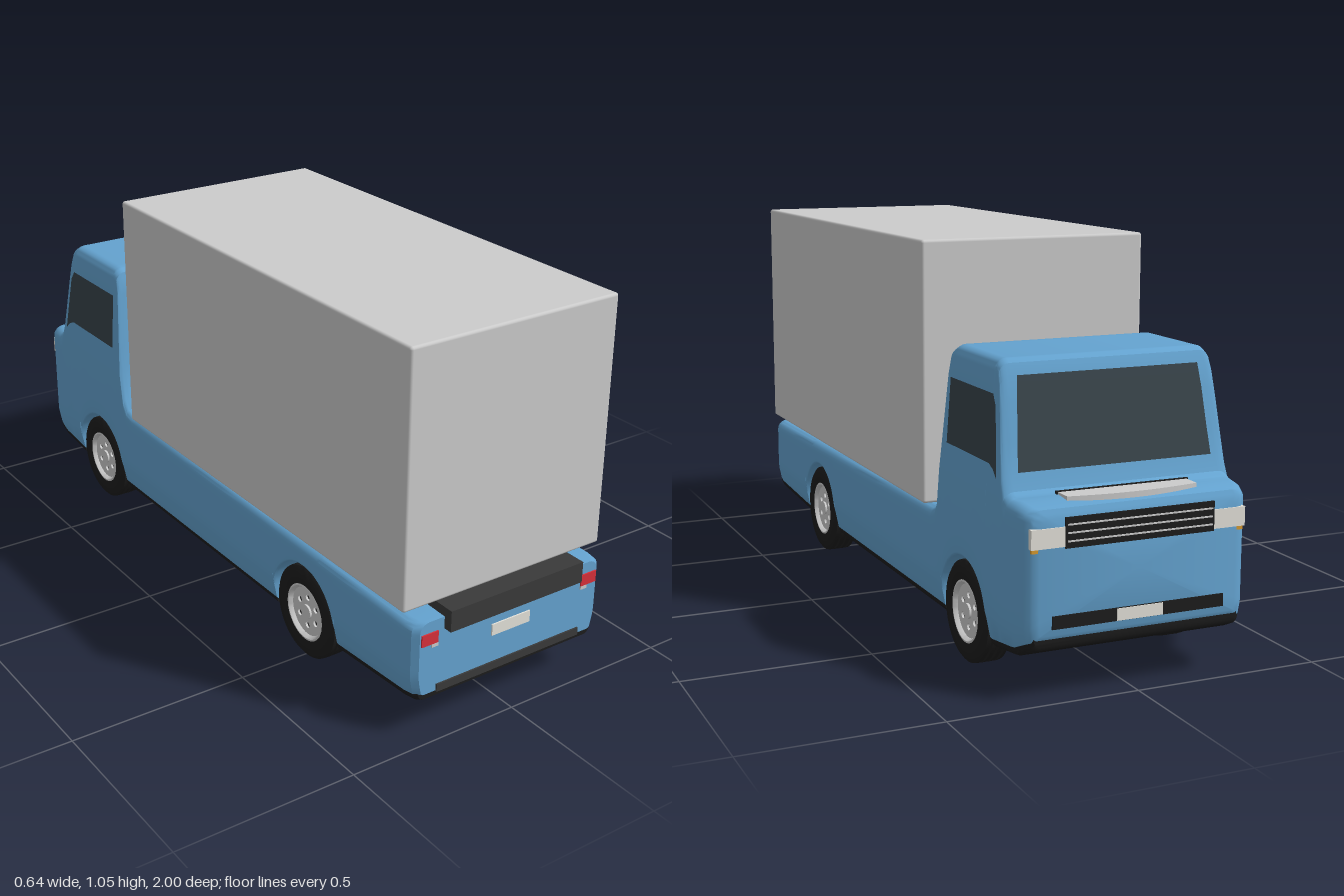
import * as THREE from 'three';
import { toCreasedNormals } from 'three/addons/utils/BufferGeometryUtils.js';
import { RoundedBoxGeometry } from 'three/addons/geometries/RoundedBoxGeometry.js';

const mat = (color) => new THREE.MeshStandardMaterial({ color, side: THREE.DoubleSide });
const BLUE = mat(0x64a3d0), GREY = mat(0xcccccc), DARK = mat(0x3a3a3a), BLACK = mat(0x1c1c1c);
const GLASS = mat(0x38444a), RED = mat(0xd8303a), WHITE = mat(0xe4e2da), AMBER = mat(0xd89a30);

const WHEEL_Z = [0.5, -0.645], WHEEL_Y = 0.135, ARCH_R = 0.143;

// Side profiles as [z, y]
const TOP = [[-0.995, 0.45], [-0.985, 0.472], [-0.95, 0.481], [-0.905, 0.485], [-0.885, 0.495],
  [-0.87, 0.535], [-0.855, 0.61], [-0.838, 0.7], [-0.825, 0.76], [-0.813, 0.79], [-0.795, 0.8],
  [-0.55, 0.8], [-0.528, 0.79], [-0.518, 0.75], [-0.495, 0.5], [-0.48, 0.4], [-0.462, 0.37],
  [-0.43, 0.358], [0.975, 0.335]];
const FLOOR = [[-0.995, 0.17], [-0.985, 0.15], [-0.93, 0.125], [-0.8, 0.105], [0.6, 0.103], [0.975, 0.13]];
// Half width along z (rounded plan corners)
const PLAN = [[-0.995, 0.265], [-0.99, 0.28], [-0.975, 0.296], [-0.95, 0.305], [-0.91, 0.31],
  [0.93, 0.31], [0.96, 0.305], [0.975, 0.29]];

function lerpAt(table, z) {
  if (z <= table[0][0]) return table[0][1];
  for (let i = 1; i < table.length; i++) {
    const [z0, y0] = table[i - 1], [z1, y1] = table[i];
    if (z <= z1) return y0 + (y1 - y0) * (z - z0) / (z1 - z0);
  }
  return table[table.length - 1][1];
}
const topY = (z) => lerpAt(TOP, z);
const floorY = (z) => lerpAt(FLOOR, z);

// Half width at a point: tucks in near the floor, tapers towards the roof
const halfWidth = (y, z) =>
  lerpAt(PLAN, z) - Math.max(0, 0.18 - y) * 0.2 - Math.max(0, y - 0.46) * 0.07;

// Body underside, raised over each wheel
function archedFloor(z) {
  let y = floorY(z);
  for (const c of WHEEL_Z) {
    const d = Math.abs(z - c);
    if (d <= ARCH_R) y = Math.max(y, WHEEL_Y + Math.sqrt(Math.max(0, ARCH_R * ARCH_R - d * d)));
  }
  return y;
}

// Loft rounded cross-sections along z
function loft(zs, bottom, top, rb, rt) {
  const pos = [], idx = [];
  let n = 0;
  for (const z of zs) {
    const b = bottom(z), t = top(z), half = [];
    for (let k = 0; k <= 4; k++) {
      const a = k / 4 * Math.PI / 2, y = b + rb * (1 - Math.cos(a));
      half.push([halfWidth(y, z) - rb * (1 - Math.sin(a)), y]);
    }
    for (let k = 1; k < 10; k++) {
      const y = b + rb + (t - rt - b - rb) * k / 10;
      half.push([halfWidth(y, z), y]);
    }
    for (let k = 0; k <= 5; k++) {
      const a = k / 5 * Math.PI / 2, y = t - rt * (1 - Math.sin(a));
      half.push([halfWidth(y, z) - rt * (1 - Math.cos(a)), y]);
    }
    const ring = [...half, ...half.map(([x, y]) => [-x, y]).reverse()];
    n = ring.length;
    ring.forEach(([x, y]) => pos.push(x, y, z));
  }
  for (let i = 0; i < zs.length - 1; i++) {
    for (let j = 0; j < n; j++) {
      const a = i * n + j, b = i * n + (j + 1) % n;
      idx.push(a, b, a + n, b, b + n, a + n);
    }
  }
  // End caps
  const last = (zs.length - 1) * n, c = pos.length / 3;
  for (const z of [zs[0], zs[zs.length - 1]]) pos.push(0, (bottom(z) + top(z)) / 2, z);
  for (let j = 0; j < n; j++) {
    const k = (j + 1) % n;
    idx.push(c, k, j, c + 1, last + j, last + k);
  }
  const g = new THREE.BufferGeometry();
  g.setAttribute('position', new THREE.Float32BufferAttribute(pos, 3));
  g.setIndex(idx);
  return toCreasedNormals(g, 0.6);
}

function stations(z0, z1, arches) {
  const zs = [...TOP, ...FLOOR, ...PLAN].map((p) => p[0]);
  for (let i = 0; i <= 20; i++) zs.push(z0 + (z1 - z0) * i / 20);
  if (arches) for (const c of WHEEL_Z) {
    zs.push(c - ARCH_R - 0.0006, c + ARCH_R + 0.0006);
    for (let i = 0; i <= 28; i++) zs.push(c + ARCH_R * Math.cos(i / 28 * Math.PI));
  }
  return zs.filter((z) => z >= z0 && z <= z1).sort((a, b) => a - b)
    .filter((z, i, s) => i === 0 || z - s[i - 1] > 2e-4);
}

function add(parent, name, geometry, material) {
  const m = new THREE.Mesh(geometry, material);
  m.name = name;
  parent.add(m);
  return m;
}
// Box given by its limits
function block(parent, name, [x0, x1], [y0, y1], [z0, z1], material) {
  add(parent, name, new THREE.BoxGeometry(x1 - x0, y1 - y0, z1 - z0), material)
    .position.set((x0 + x1) / 2, (y0 + y1) / 2, (z0 + z1) / 2);
}

// Wheel with its axis along x, outer face towards +x
function makeWheel() {
  const w = new THREE.Group();
  const profile = [[0.078, -0.036], [0.1, -0.04], [0.122, -0.038], [0.131, -0.031]];
  for (const c of [-0.018, 0, 0.018]) {
    profile.push([0.132, c - 0.004], [0.126, c - 0.002], [0.126, c + 0.002], [0.132, c + 0.004]);
  }
  profile.push([0.131, 0.031], [0.122, 0.038], [0.1, 0.04], [0.078, 0.036]);
  const lathe = (pts) => toCreasedNormals(
    new THREE.LatheGeometry(pts.map(([r, h]) => new THREE.Vector2(r, h)), 48), 0.6).rotateZ(-Math.PI / 2);
  add(w, 'tyre', lathe(profile), BLACK);
  add(w, 'rimBarrel', lathe([[0.073, -0.036], [0.08, -0.038], [0.08, -0.034], [0.07, -0.03],
    [0.068, 0.025], [0.076, 0.038], [0.081, 0.037]]), GREY);
  // Pierced rim face
  const face = new THREE.Shape().absarc(0, 0, 0.07, 0, Math.PI * 2);
  for (let i = 0; i < 6; i++) {
    const a = (i + 0.5) / 6 * Math.PI * 2;
    face.holes.push(new THREE.Path().absarc(0.042 * Math.cos(a), 0.042 * Math.sin(a), 0.009, 0, Math.PI * 2, true));
  }
  add(w, 'rimFace', new THREE.ExtrudeGeometry(face, { depth: 0.006, bevelEnabled: false, curveSegments: 24 })
    .rotateY(Math.PI / 2).translate(0.021, 0, 0), GREY);
  const disc = (name, r, h, x, m) =>
    add(w, name, new THREE.CylinderGeometry(r, r, h, 32).rotateZ(Math.PI / 2).translate(x, 0, 0), m);
  disc('brakeDisc', 0.066, 0.006, 0.012, DARK);
  disc('hub', 0.02, 0.012, 0.027, GREY);
  return w;
}

export function createModel() {
  const truck = new THREE.Group();
  truck.name = 'boxTruck';

  add(truck, 'body', loft(stations(-0.995, 0.975, true), archedFloor, topY, 0.008, 0.028), BLUE);
  // Dark underbody between the wheel arches
  for (const [z0, z1] of [[-0.99, -0.788], [-0.502, 0.357], [0.643, 0.97]]) {
    add(truck, 'underbody', loft(stations(z0, z1, false),
      (z) => floorY(z) - 0.017, (z) => floorY(z) + 0.006, 0.014, 0.003), BLACK);
  }
  block(truck, 'frontAxleHousing', [-0.22, 0.22], [0.2, 0.268], [-0.71, -0.58], DARK);

  // Cargo box on its bed frame
  block(truck, 'bedFrame', [-0.215, 0.215], [0.302, 0.361], [-0.462, 1], DARK);
  add(truck, 'cargoBox', new RoundedBoxGeometry(0.64, 0.69, 1.355, 3, 0.008), GREY).position.set(0, 0.706, 0.267);

  // Windscreen follows the cab profile
  const zs = TOP.map((p) => p[0]).filter((z) => z >= -0.871 && z <= -0.824);
  const pos = [], idx = [];
  zs.forEach((z, i) => {
    const x = 0.264 - 0.018 * i / (zs.length - 1);
    pos.push(x, topY(z) + 0.002, z - 0.003, -x, topY(z) + 0.002, z - 0.003);
    if (i) idx.push(2 * i - 2, 2 * i - 1, 2 * i, 2 * i - 1, 2 * i + 1, 2 * i);
  });
  const screen = new THREE.BufferGeometry();
  screen.setAttribute('position', new THREE.Float32BufferAttribute(pos, 3));
  screen.setIndex(idx);
  screen.computeVertexNormals();
  add(truck, 'windscreen', screen, GLASS);

  // Nose: grille, bumper slot, plate and bonnet vent
  block(truck, 'grille', [-0.2, 0.2], [0.378, 0.452], [-1, -0.97], BLACK);
  for (const y of [0.395, 0.415, 0.435]) block(truck, 'grilleBar', [-0.195, 0.195], [y - 0.002, y + 0.002], [-1.002, -0.98], GREY);
  block(truck, 'bumperSlot', [-0.232, 0.232], [0.185, 0.217], [-0.999, -0.97], BLACK);
  block(truck, 'frontPlate', [-0.062, 0.062], [0.186, 0.216], [-1.001, -0.98], WHITE);
  const vent = new THREE.Shape([[0.175, 0.906], [0.175, 0.955]].map(([x, z]) => new THREE.Vector2(x, z)));
  vent.quadraticCurveTo(0, 0.99, -0.175, 0.955);
  vent.lineTo(-0.175, 0.906);
  const ventGeo = new THREE.ExtrudeGeometry(vent, { depth: 0.016, bevelEnabled: false }).rotateX(-Math.PI / 2);
  add(truck, 'bonnetVent', ventGeo, GREY).position.y = 0.474;
  block(truck, 'ventEdge', [-0.18, 0.18], [0.474, 0.492], [-0.908, -0.9], BLACK);

  // Tail: plate and bumper strip
  block(truck, 'rearPlate', [-0.062, 0.062], [0.228, 0.26], [0.96, 0.979], WHITE);
  block(truck, 'rearBumperStrip', [-0.235, 0.235], [0.128, 0.149], [0.95, 0.98], DARK);

  // Paired parts
  for (const s of [1, -1]) {
    const span = (a, b) => (s > 0 ? [a, b] : [-b, -a]);
    block(truck, 'headlight', span(0.2, 0.288), [0.382, 0.43], [-0.998, -0.955], WHITE);
    block(truck, 'indicator', span(0.255, 0.285), [0.372, 0.381], [-0.994, -0.96], AMBER);
    block(truck, 'tailLight', span(0.235, 0.286), [0.272, 0.304], [0.945, 0.979], RED);
    block(truck, 'reverseLight', span(0.235, 0.255), [0.262, 0.272], [0.945, 0.979], GREY);

    // Side window, laid on the tapered cab wall
    const win = new THREE.ShapeGeometry(new THREE.Shape([[-0.54, 0.55], [-0.54, 0.717], [-0.8, 0.717],
      [-0.818, 0.69], [-0.848, 0.52], [-0.825, 0.54], [-0.8, 0.55]].map(([z, y]) => new THREE.Vector2(z, y))));
    const p = win.attributes.position;
    for (let i = 0; i < p.count; i++) {
      const z = p.getX(i), y = p.getY(i);
      p.setXYZ(i, s * (halfWidth(y, z) + 0.003), y, z);
    }
    if (s > 0) win.setIndex([...win.index.array].reverse());
    win.computeVertexNormals();
    add(truck, 'sideWindow', win, GLASS);

    for (const z of WHEEL_Z) {
      const wheel = makeWheel();
      wheel.name = z > 0 ? 'rearWheel' : 'frontWheel';
      wheel.position.set(s * 0.265, WHEEL_Y, z);
      if (s < 0) wheel.rotation.y = Math.PI;
      truck.add(wheel);
    }
  }
  // Stand on the ground
  truck.children.forEach((c) => { c.position.y -= 0.003; });
  return truck;
}
